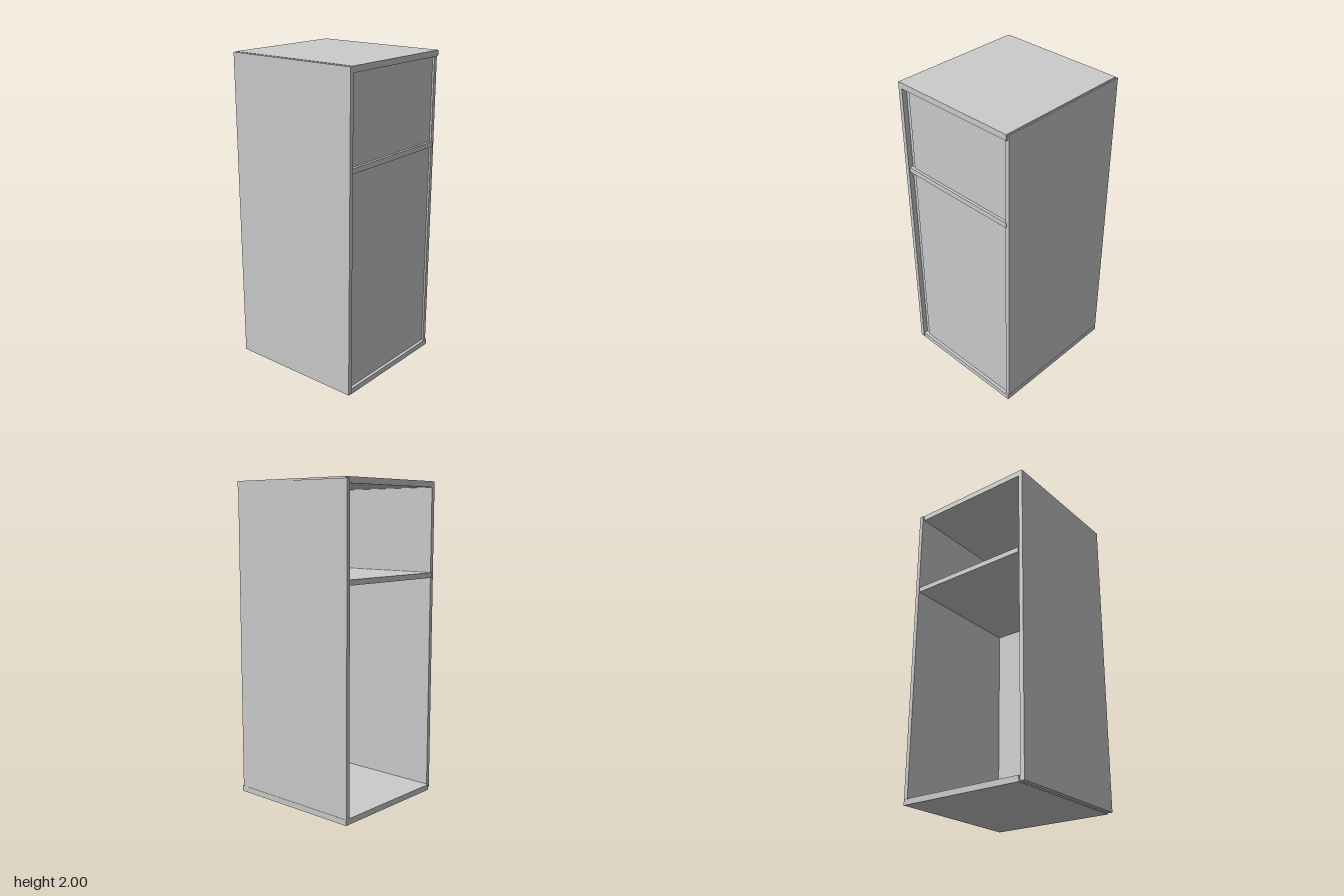
import * as THREE from 'three';

const material = new THREE.MeshStandardMaterial({ color: 0xcccccc, flatShading: true });

// A flat board given by its extents along each axis
function board(name, [x0, x1], [y0, y1], [z0, z1]) {
  const mesh = new THREE.Mesh(new THREE.BoxGeometry(x1 - x0, y1 - y0, z1 - z0), material);
  mesh.position.set((x0 + x1) / 2, (y0 + y1) / 2, (z0 + z1) / 2);
  mesh.name = name;
  return mesh;
}

export function createModel() {
  const cabinet = new THREE.Group();
  cabinet.name = 'openCabinet';

  // Tall side walls; the boards are slightly out of line with each other
  cabinet.add(
    board('frontWall', [-0.437, 0.455], [0.008, 1.998], [0.398, 0.425]),
    board('backWall', [-0.452, 0.442], [0.032, 1.99], [-0.426, -0.4])
  );

  // Horizontal boards
  cabinet.add(
    board('topBoard', [-0.437, 0.455], [1.963, 2], [-0.42, 0.405]),
    board('shelf', [-0.447, 0.447], [1.4, 1.433], [-0.41, 0.398]),
    board('bottomBoard', [-0.45, 0.45], [0, 0.036], [-0.428, 0.398])
  );

  // Closing panels set into the +x side, each with a narrow strip along the front wall
  for (const [label, y] of [['lower', [0.036, 1.4]], ['upper', [1.433, 1.963]]]) {
    cabinet.add(
      board(label + 'Panel', [0.4, 0.43], y, [-0.4, 0.37]),
      board(label + 'PanelStrip', [0.4, 0.422], y, [0.37, 0.398])
    );
  }

  return cabinet;
}
